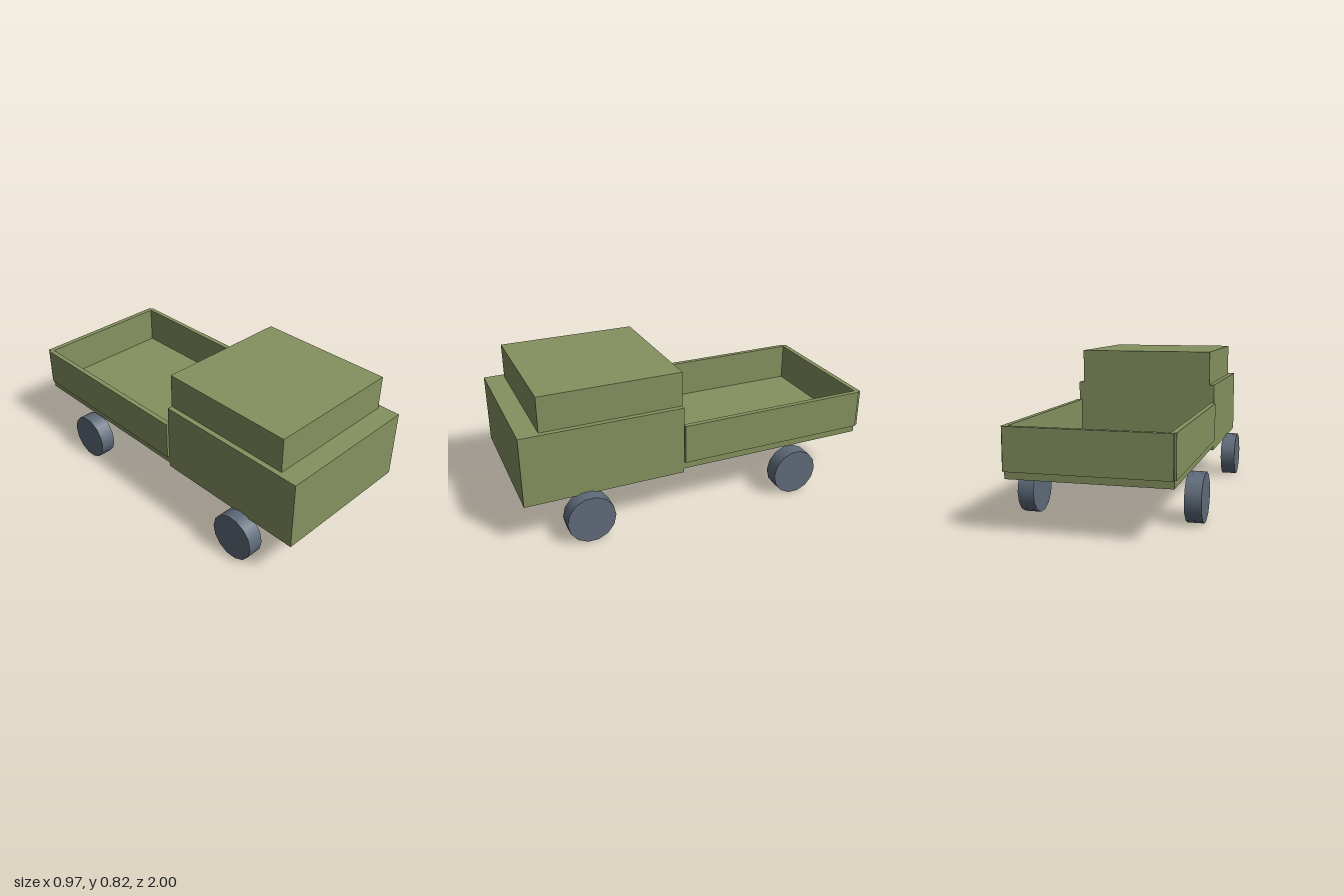
import * as THREE from 'three';

export function createModel() {
  const truck = new THREE.Group();
  truck.name = 'pickupTruck';
  const paint = new THREE.MeshStandardMaterial({ color: 0x859260 });
  const rubber = new THREE.MeshStandardMaterial({ color: 0x5f6b7a });

  // Box given by its [min, max] range on each axis
  function box(name, [x0, x1], [y0, y1], [z0, z1]) {
    const mesh = new THREE.Mesh(new THREE.BoxGeometry(x1 - x0, y1 - y0, z1 - z0), paint);
    mesh.position.set((x0 + x1) / 2, (y0 + y1) / 2, (z0 + z1) / 2);
    mesh.name = name;
    truck.add(mesh);
  }

  // Cab
  box('cabBody', [-0.413, 0.413], [0.247, 0.632], [0.12, 1]);
  box('cabRoof', [-0.385, 0.385], [0.632, 0.824], [0.12, 0.89]);

  // Cargo bed
  box('bedFloor', [-0.413, 0.413], [0.27, 0.31], [-0.98, 0.12]);
  box('leftBedWall', [0.395, 0.423], [0.309, 0.527], [-0.982, 0.115]);
  box('rightBedWall', [-0.423, -0.395], [0.309, 0.527], [-0.982, 0.115]);
  box('tailgate', [-0.413, 0.413], [0.309, 0.527], [-1, -0.97]);

  // Wheels
  const wheelGeometry = new THREE.CylinderGeometry(0.131, 0.131, 0.087, 14).rotateZ(Math.PI / 2);
  for (const [end, z] of [['Front', 0.67], ['Rear', -0.543]]) {
    for (const [side, sign] of [['left', 1], ['right', -1]]) {
      const wheel = new THREE.Mesh(wheelGeometry, rubber);
      wheel.position.set(sign * 0.44, 0.13, z);
      wheel.name = `${side}${end}Wheel`;
      truck.add(wheel);
    }
  }
  return truck;
}
